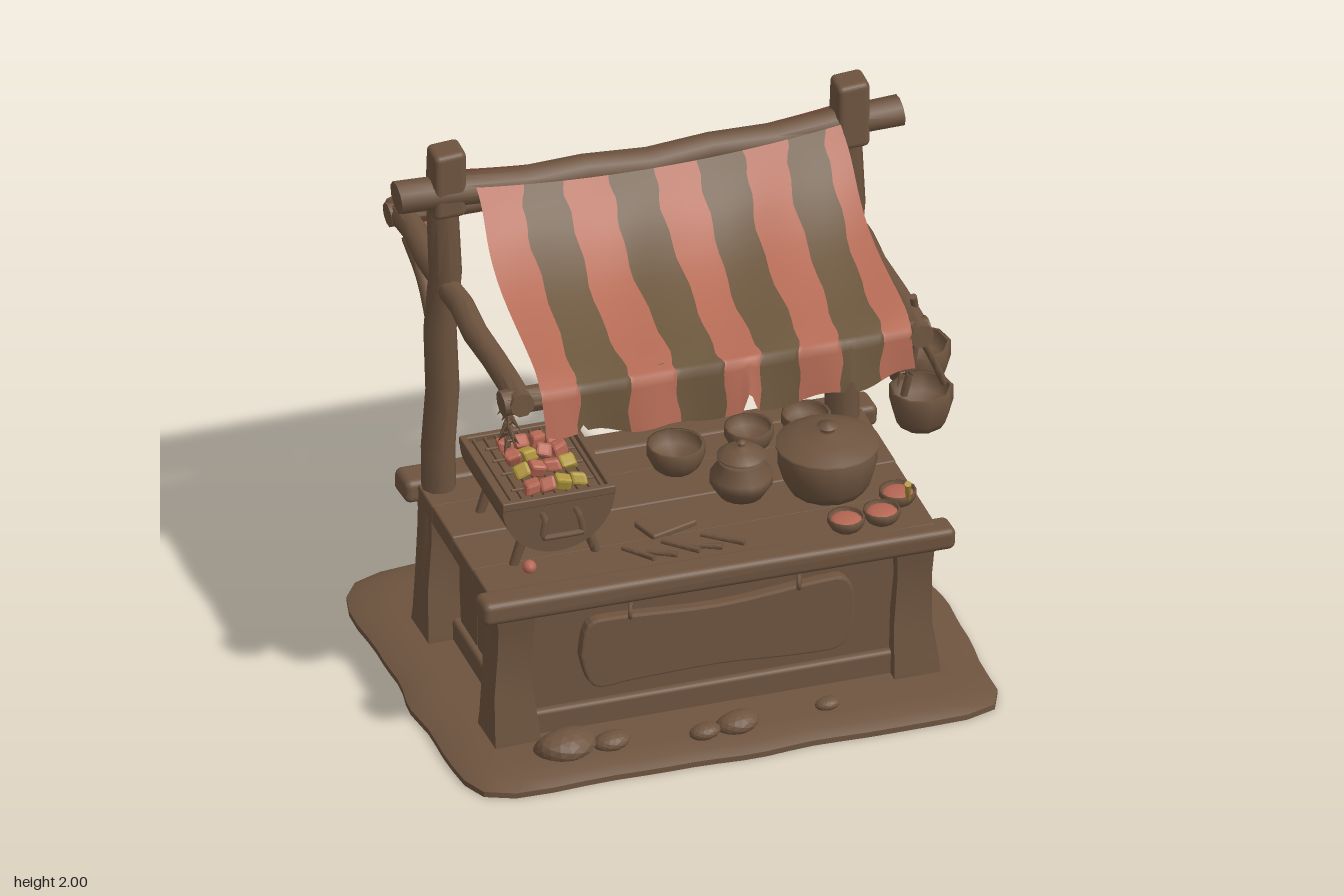
import * as THREE from 'three';
import { toCreasedNormals } from 'three/addons/utils/BufferGeometryUtils.js';
import { RoundedBoxGeometry } from 'three/addons/geometries/RoundedBoxGeometry.js';

const mat = (name, color, side = THREE.FrontSide) =>
  Object.assign(new THREE.MeshStandardMaterial({ color, side }), { name });
const V = (x, y, z) => new THREE.Vector3(x, y, z);
const V2 = (x, y) => new THREE.Vector2(x, y);

// Hand-carved unevenness: a smooth offset that depends only on position
function bump(geo, amp, f = 14) {
  const p = geo.attributes.position;
  for (let i = 0; i < p.count; i++) {
    const x = p.getX(i), y = p.getY(i), z = p.getZ(i);
    p.setXYZ(i, x + amp * Math.sin(y * f + z * 9 + 1), y + amp * Math.sin(x * f * 0.8 + z * 7),
      z + amp * Math.sin(x * f * 0.7 + y * 11 + 2));
  }
  geo.computeVertexNormals();
  return geo;
}

export function createModel() {
  const g = new THREE.Group();
  g.name = 'marketStall';
  const wood = mat('brown wood', 0x6e543f);
  const red = mat('red cloth', 0xb56b55, THREE.DoubleSide);
  const stripe = mat('olive brown stripe', 0x6c563d, THREE.DoubleSide);
  const meat = mat('red food', 0xb56653);
  const yellow = mat('yellow food', 0xb0963c);

  const add = (name, geo, m = wood, x = 0, y = 0, z = 0) => {
    const mesh = new THREE.Mesh(geo, m);
    mesh.name = name;
    mesh.position.set(x, y, z);
    g.add(mesh);
    return mesh;
  };
  const box = (name, x0, x1, y0, y1, z0, z1, r = 0.015) =>
    add(name, new RoundedBoxGeometry(x1 - x0, y1 - y0, z1 - z0, 2, r), wood, (x0 + x1) / 2, (y0 + y1) / 2, (z0 + z1) / 2);
  // Round timber between two points, optionally sagging in the middle
  const beam = (name, a, b, r0, r1 = r0, sag = 0, amp = 0.006) => {
    const len = a.distanceTo(b), geo = bump(new THREE.CylinderGeometry(r1, r0, len, 9, 8), amp);
    geo.applyQuaternion(new THREE.Quaternion().setFromUnitVectors(V(0, 1, 0), b.clone().sub(a).normalize()));
    const p = geo.attributes.position;
    for (let i = 0; i < p.count; i++) p.setY(i, p.getY(i) - sag * (1 - (2 * p.getX(i) / len) ** 2));
    const c = a.clone().add(b).multiplyScalar(0.5);
    return add(name, toCreasedNormals(geo, 0.75), wood, c.x, c.y, c.z);
  };
  const lathe = (pts, seg = 18, phi = 0) => new THREE.LatheGeometry(pts.map(([x, y]) => V2(x, y)), seg, phi);
  const bowl = (name, x, y, z, r, h, inner = wood, foot = 0.6, seg = 14) => {
    add(name, lathe([[0, 0], [foot * r, 0], [(foot + 1.1) / 2.1 * r, h * 0.2], [r, h * 0.6], [r, h], [r * 0.9, h]], seg), wood, x, y, z);
    add(name + 'Inside', lathe([[r * 0.9, h], [r * 0.85, h * 0.5], [0, h * 0.35]], seg), inner, x, y, z);
  };
  const lid = (name, x, y, z, r, h) =>
    add(name, lathe([[r * 1.04, 0], [r * 1.04, h * 0.15], [r * 0.6, h * 0.5], [r * 0.16, h * 0.62], [r * 0.14, h * 0.75], [r * 0.22, h * 0.9], [0, h]]), wood, x, y, z);

  // Earth base: a square slab with small round corners and a thin edge
  const ground = lathe([[0, 0], [1, 0], [1, 0.02], [0.95, 0.042], [0.85, 0.052], [0, 0.06]], 72);
  const gp = ground.attributes.position;
  for (let i = 0; i < gp.count; i++) {
    const x = gp.getX(i), z = gp.getZ(i), a = Math.atan2(z, x);
    const k = (Math.abs(Math.cos(a)) ** 11 + Math.abs(Math.sin(a)) ** 11) ** (-1 / 11) * (1 + 0.008 * Math.sin(a * 9) + 0.005 * Math.sin(a * 17 + 1));
    gp.setXYZ(i, x * k * 0.96, gp.getY(i), z * k * 0.76 + 0.015);
  }
  ground.computeVertexNormals();
  add('ground', toCreasedNormals(ground, 0.7));

  // Stones: x, z, size
  for (const [x, z, s] of [[-0.58, 0.6, 0.1], [-0.42, 0.62, 0.06], [0.02, 0.64, 0.07], [-0.1, 0.66, 0.05], [0.35, 0.62, 0.04],
    [0.4, -0.56, 0.11], [0.3, -0.6, 0.05], [-0.5, -0.56, 0.11], [-0.38, -0.6, 0.06], [-0.62, -0.58, 0.05]]) {
    const stone = bump(new THREE.IcosahedronGeometry(s, 2), s * 0.1, 30).scale(1.1, 0.55, 0.8);
    add('stone', stone, wood, x, 0.065, z);
  }

  // Counter body with planks, rails and flared corner legs
  box('counterBody', -0.68, 0.66, 0.04, 0.56, -0.3, 0.46);
  box('plinthFront', -0.7, 0.68, 0.04, 0.14, 0.44, 0.485);
  box('plinthBack', -0.7, 0.68, 0.04, 0.14, -0.33, -0.28);
  for (const s of [-1, 1]) {
    box('sidePlinth', s * 0.69 - 0.02, s * 0.69 + 0.02, 0.04, 0.13, -0.3, 0.46);
    for (let i = 0; i < 3; i++) box('sidePlank', s * 0.675 - 0.012, s * 0.675 + 0.012, 0.1, 0.55, -0.18 + i * 0.185, i * 0.185, 0.008);
  }
  for (const x of [-0.72, 0.7]) for (const z of [0.435, -0.28]) {
    const leg = lathe([[0, 0], [1.3, 0], [1.25, 0.06], [1.08, 0.2], [0.95, 0.38], [1, 0.46], [1.1, 0.52], [0, 0.52]], 4, Math.PI / 4);
    leg.scale(0.09, 1, 0.1);
    add('counterLeg', toCreasedNormals(bump(leg, 0.005), 0.7), wood, x, 0.04, z);
  }
  for (let i = 0; i < 4; i++) box('counterPlank', -0.8, 0.78, 0.55, 0.62 + (i % 2) * 0.004, -0.36 + i * 0.215, -0.143 + i * 0.215, 0.008);
  const rail = (name, z, d) => add(name, bump(new RoundedBoxGeometry(1.68, 0.085, d, 4, 0.025), 0.006, 8), wood, -0.01, 0.585, z);
  rail('counterFrontRail', 0.5, 0.11);
  rail('counterBackRail', -0.35, 0.13);

  // Blank sign board with raised border
  const outline = (k) => new THREE.Shape(new THREE.SplineCurve([[-0.485, 0], [-0.46, 0.11], [-0.36, 0.125], [0, 0.105], [0.35, 0.13], [0.45, 0.12],
    [0.475, 0.02], [0.44, -0.12], [0.3, -0.135], [0, -0.115], [-0.3, -0.12], [-0.44, -0.12], [-0.485, 0]].map(([x, y]) => V2(x * (1 - k * 0.35), y * (1 - k)))).getPoints(48));
  const border = outline(0);
  border.holes.push(outline(0.16));
  add('signBorder', new THREE.ExtrudeGeometry(border, { depth: 0.03, bevelSize: 0.008, bevelThickness: 0.008, bevelSegments: 2 }), wood, 0, 0.355, 0.49);
  add('signPanel', new THREE.ExtrudeGeometry(outline(0.08), { depth: 0.02, bevelEnabled: false }), wood, 0, 0.355, 0.485);
  for (const x of [-0.31, 0.29]) add('signTie', new THREE.TorusGeometry(0.024, 0.009, 6, 12).rotateY(1.2), wood, x, 0.495, 0.51);

  // Timber frame
  for (const s of [-1, 1]) {
    const x = s === 1 ? 0.7 : -0.735, bx = s === 1 ? 0.695 : -0.725;
    beam('post', V(x, 0.06, -0.3), V(x, 1.97, -0.19), 0.062, 0.055);
    add('postTop', bump(new RoundedBoxGeometry(0.115, 0.25, 0.115, 3, 0.02), 0.004), wood, x, 1.875, -0.19);
    beam('sideBeam', V(bx, 1.445, 0.62), V(bx, 1.445, -0.75), 0.044);
    beam('brace', V(x, 1.2, -0.25), V(x, 1.43, -0.57), 0.028);
  }
  beam('ridgeBeam', V(-0.91, 1.84, -0.185), V(0.88, 1.845, -0.185), 0.058, 0.054, 0.03, 0.006);
  beam('frontCrossbeam', V(-0.79, 1.44, 0.57), V(0.73, 1.44, 0.57), 0.046);
  beam('backCrossbeam', V(-0.77, 1.44, -0.71), V(0.73, 1.44, -0.71), 0.044);

  // Awning: a curve from ridge to crossbeam, then a ragged hanging hem
  const awning = (pts, hem, out) => {
    const curve = new THREE.CatmullRomCurve3(pts.map(([z, y]) => V(0, y, z))), end = pts[pts.length - 1];
    return (x, v) => {
      const s = Math.min(1, v / 0.8), t = Math.max(0, (v - 0.8) / 0.2), p = curve.getPoint(s);
      const mid = 1 - (x / 0.66) ** 2, swell = Math.sin(Math.PI * s);
      const y = t > 0 ? THREE.MathUtils.lerp(end[1], hem(x), t) : p.y;
      return V(x, y - mid * (0.045 * (1 - s) + 0.018 * swell) + 0.006 * Math.sin(x * 15 + v * 6) * swell,
        p.z + out * t + 0.012 * t * Math.sin(x * 18));
    };
  };
  const strip = (name, at, left, right, m, cols) => {
    const geo = new THREE.PlaneGeometry(1, 1, cols, 25), p = geo.attributes.position;
    for (let i = 0; i < p.count; i++) {
      const v = 0.5 - p.getY(i), q = at(THREE.MathUtils.lerp(left(v), right(v), p.getX(i) + 0.5), v);
      p.setXYZ(i, q.x, q.y, q.z);
    }
    geo.computeVertexNormals();
    add(name, geo, m);
  };
  const slit = (x, c, h) => Math.max(0, h - Math.abs(x - c) * 3);
  const front = awning([[-0.118, 1.87], [-0.06, 1.805], [0.03, 1.72], [0.18, 1.625], [0.38, 1.55], [0.55, 1.508], [0.62, 1.48]],
    (x) => 1.28 + 0.05 * (x / 0.65) ** 2 + 0.01 * Math.sin(x * 23) + slit(x, 0.07, 0.08) + slit(x, 0.43, 0.06) + slit(x, -0.52, 0.03), 0.02);
  const edges = [[-0.65, -0.66], [-0.49, -0.54], [-0.34, -0.35], [-0.18, -0.18], [-0.02, -0.015], [0.14, 0.11], [0.3, 0.25], [0.45, 0.39], [0.59, 0.54], [0.65, 0.66]]
    .map(([a, b], i) => (v) => a + (b - a) * v + 0.005 * Math.sin(v * 14 + i * 2) + (i % 9 ? 0.005 : 0) * Math.sin(v * 37 + i));
  for (let i = 0; i < 9; i++) strip(i % 2 ? 'awningStripe' : 'awningCloth', front, edges[i], edges[i + 1], i % 2 ? stripe : red, 10);
  const back = awning([[-0.245, 1.87], [-0.3, 1.785], [-0.4, 1.69], [-0.55, 1.59], [-0.7, 1.515], [-0.76, 1.48]],
    (x) => 1.41 - 0.1 * Math.max(0, -x / 0.66) ** 3 + 0.008 * Math.sin(x * 21), -0.015);
  strip('backAwning', back, (v) => -0.68 - 0.012 * Math.sin(v * 8), () => 0.655, red, 36);
  for (const [x, v, r] of [[0.45, 0.5, 0.08], [-0.05, 0.05, 0.03]]) {
    const geo = new THREE.CircleGeometry(1, 14), p = geo.attributes.position;
    for (let i = 0; i < p.count; i++) {
      const q = back(x + p.getX(i) * r, v + p.getY(i) * r * 1.25 * (1 + 0.1 * Math.sin(i * 2)));
      p.setXYZ(i, q.x, q.y + 0.007, q.z - 0.005);
    }
    geo.computeVertexNormals();
    add('clothPatch', geo, stripe);
  }

  // Trough grill with grate, handles, legs and skewers
  const half = new THREE.Shape().absarc(0, 0, 0.2, Math.PI, 2 * Math.PI, false);
  add('grillTrough', new THREE.ExtrudeGeometry(half, { depth: 0.46, bevelEnabled: false, curveSegments: 14 }), wood, -0.51, 0.875, -0.115);
  for (const x of [-0.7, -0.32]) box('grillRim', x - 0.012, x + 0.012, 0.865, 0.897, -0.12, 0.352, 0.005);
  for (const z of [-0.11, 0.34]) box('grillRim', -0.71, -0.31, 0.865, 0.897, z - 0.012, z + 0.012, 0.005);
  for (let i = 0; i < 9; i++) box('grateBar', -0.673 + i * 0.04, -0.663 + i * 0.04, 0.876, 0.89, -0.11, 0.34, 0.003);
  for (const [z, s] of [[0.35, 1], [-0.115, -1]]) {
    const pts = [V(-0.57, 0.83, z), V(-0.57, 0.83, z + s * 0.035), V(-0.58, 0.765, z + s * 0.04), V(-0.44, 0.765, z + s * 0.04), V(-0.45, 0.83, z + s * 0.035), V(-0.45, 0.83, z)];
    add('grillHandle', new THREE.TubeGeometry(new THREE.CatmullRomCurve3(pts, false, 'catmullrom', 0.1), 30, 0.012, 6));
  }
  for (const z of [-0.06, 0.3]) for (const s of [-1, 1]) beam('grillLeg', V(-0.51 + s * 0.15, 0.61, z), V(-0.51 + s * 0.11, 0.73, z), 0.016, 0.02, 0, 0);
  // Each row lists its chunks: y yellow, r red
  [[0.29, 'rryy'], [0.18, 'yrry'], [0.09, 'ryrr'], [0.01, 'rrrr']].forEach(([z, row], r) => {
    beam('skewer', V(-0.66, 0.908, z), V(-0.37, 0.908, z), 0.005, 0.005, 0, 0);
    [...row].forEach((c, i) => {
      const chunk = add('foodChunk', bump(new RoundedBoxGeometry(0.054, 0.044, 0.05, 1, 0.01), 0.004, 50), c === 'y' ? yellow : meat, -0.593 + i * 0.056, 0.912, z);
      chunk.rotation.set(i * 0.9 + r, 0.3 * Math.sin(i * 3 + r), 0.2 * Math.sin(i + r * 2));
    });
  });
  add('foodChunk', new THREE.IcosahedronGeometry(0.025, 1), meat, -0.62, 0.64, 0.36);

  // Cookware on the counter
  bowl('bigPot', 0.51, 0.62, 0.15, 0.17, 0.17, wood, 0.75);
  lid('bigPotLid', 0.51, 0.785, 0.15, 0.17, 0.085);
  add('jug', lathe([[0, 0], [0.075, 0], [0.108, 0.05], [0.108, 0.08], [0.075, 0.125], [0.085, 0.145], [0, 0.15]]), wood, 0.22, 0.62, 0.1);
  lid('jugLid', 0.22, 0.765, 0.1, 0.08, 0.065);
  bowl('pan', 0.06, 0.62, -0.12, 0.1, 0.1);
  bowl('backBowl', 0.55, 0.62, -0.2, 0.085, 0.08);
  bowl('backBowl', 0.34, 0.62, -0.18, 0.085, 0.08);
  for (const [x, z] of [[0.48, 0.44], [0.61, 0.43], [0.7, 0.33]]) {
    bowl('sauceBowl', x, 0.625, z, 0.064, 0.05);
    add('sauce', new THREE.SphereGeometry(0.055, 12, 6, 0, Math.PI * 2, 0, Math.PI / 2).scale(1, 0.3, 1), meat, x, 0.66, z);
  }
  beam('spoon', V(0.72, 0.66, 0.38), V(0.7, 0.76, 0.44), 0.008, 0.012, 0, 0).material = yellow;
  const board = box('choppingBoard', -0.18, 0.0, 0.615, 0.64, 0.16, 0.28, 0.008);
  board.rotation.y = 0.3;
  for (let i = 0; i < 5; i++) beam('utensil', V(-0.28 + i * 0.07, 0.632, 0.33 + (i % 2) * 0.05), V(-0.2 + i * 0.08, 0.64, 0.44), 0.008, 0.011, 0, 0);

  // Pans hanging on the outer side
  bowl('hangingPan', 0.76, 0.97, 0.4, 0.11, 0.14, wood, 0.7, 9);
  bowl('hangingPan', 0.82, 1.0, 0.17, 0.118, 0.14, wood, 0.7, 9);
  beam('panHandle', V(0.7, 1.09, 0.4), V(0.74, 1.34, 0.42), 0.013, 0.013, 0, 0.003);
  beam('panHandle', V(0.74, 1.33, 0.42), V(0.7, 1.53, 0.49), 0.013, 0.013, 0, 0.003);
  beam('panHandle', V(0.85, 1.1, 0.38), V(0.74, 1.34, 0.43), 0.013, 0.013, 0, 0.003);

  // Drying herbs
  for (const [x, y, z, n] of [[-0.73, 1.2, 0.47, 6], [0.66, 1.0, -0.01, 9], [0.67, 1.2, 0.47, 5]]) {
    beam('herbString', V(x, y, z), V(x, 1.43, z), 0.007, 0.007, 0, 0);
    for (let i = 0; i < n * 2; i++) {
      const leaf = new THREE.ConeGeometry(0.016, 0.085, 5).rotateX(Math.PI).translate(0, -0.03, 0).rotateX(0.6).rotateY(i * 2.4);
      add('herbLeaf', leaf, wood, x, y + 0.03 + i * 0.014, z);
    }
  }

  // Basins on short feet behind the counter
  for (const [x, z] of [[-0.5, -0.56], [0.4, -0.535]]) {
    bowl('basin', x, 0.2, z, 0.172, 0.185, yellow, 0.8);
    for (let i = 0; i < 3; i++) {
      const a = i * 2.09, c = Math.cos(a) * 0.03, s = Math.sin(a) * 0.03;
      beam('basinFoot', V(x + c, 0.06, z + s), V(x + c, 0.22, z + s), 0.013, 0.013, 0, 0);
    }
  }
  return g;
}
